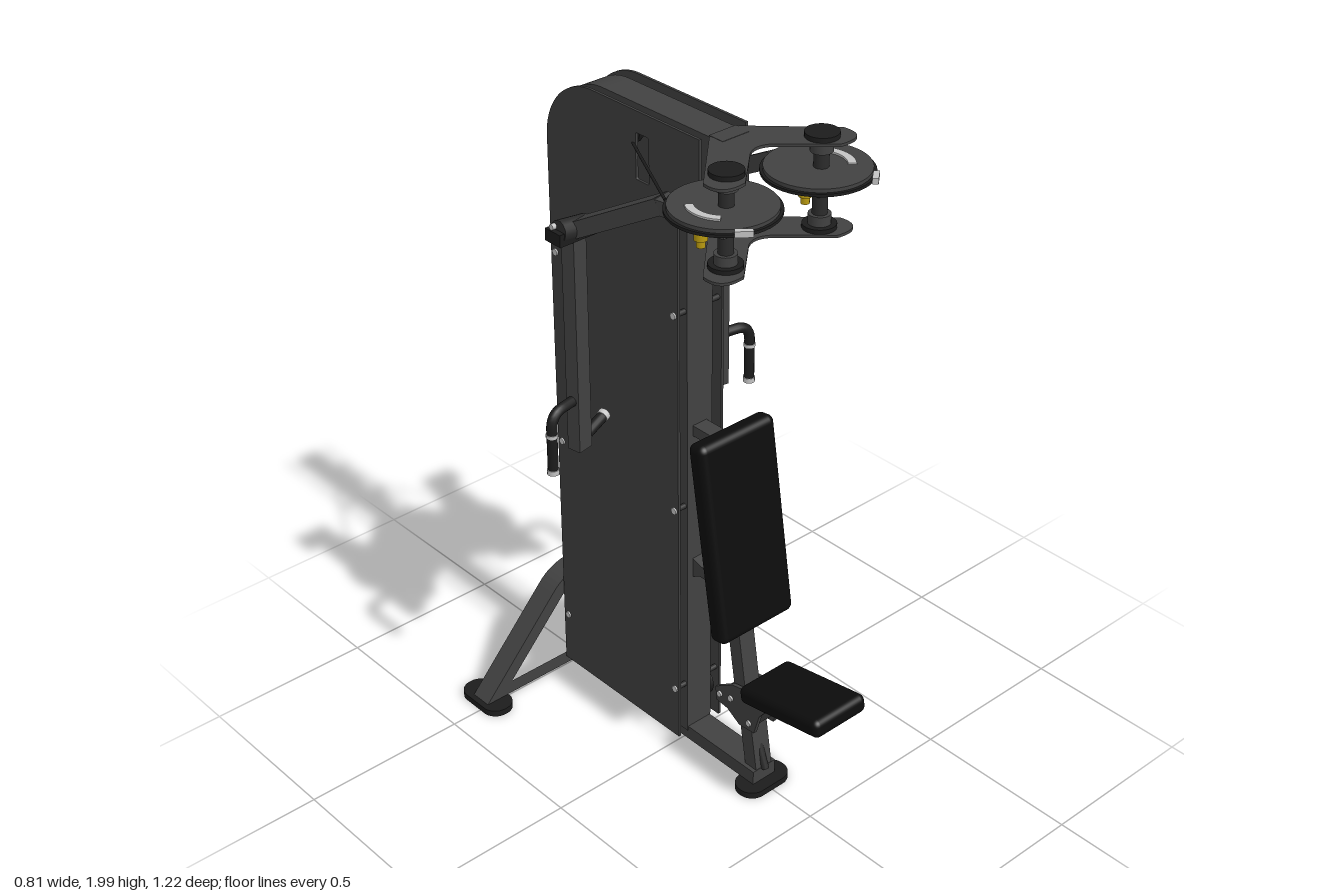
import * as THREE from 'three';
import { RoundedBoxGeometry } from 'three/addons/geometries/RoundedBoxGeometry.js';

const mat = (name, color) => Object.assign(new THREE.MeshStandardMaterial({ color }), { name });

export function createModel() {
  const root = new THREE.Group();
  root.name = 'chestPressMachine';
  const steel = mat('frameSteel', 0x414141);
  const sheet = mat('shroudGrey', 0x3f3f3f);
  const dark = mat('darkSteel', 0x2b2b2b);
  const pad = mat('blackVinyl', 0x0c0c0c);
  const rubber = mat('blackRubber', 0x1c1c1c);
  const bright = mat('brightMetal', 0xc4c4c4);
  const yellow = mat('yellowKnob', 0xb99a10);

  const add = (name, geo, m, x = 0, y = 0, z = 0) => {
    const mesh = new THREE.Mesh(geo, m);
    mesh.name = name;
    mesh.position.set(x, y, z);
    root.add(mesh);
    return mesh;
  };
  const box = (name, m, w, h, d, x, y, z) => add(name, new THREE.BoxGeometry(w, h, d), m, x, y, z);
  const disc = (name, m, r, h, x, y, z, n = 24) => add(name, new THREE.CylinderGeometry(r, r, h, n), m, x, y, z);
  // Cylinder or box running from a to b
  const rod = (name, m, r, a, b) => {
    const p = new THREE.Vector3(...a), q = new THREE.Vector3(...b), d = q.clone().sub(p);
    const mesh = add(name, new THREE.CylinderGeometry(r, r, d.length(), 14), m);
    mesh.position.copy(p).lerp(q, 0.5);
    mesh.quaternion.setFromUnitVectors(new THREE.Vector3(0, 1, 0), d.normalize());
    return mesh;
  };
  const beam = (name, m, w, h, a, b) => {
    const p = new THREE.Vector3(...a), q = new THREE.Vector3(...b);
    const mesh = add(name, new THREE.BoxGeometry(w, h, p.distanceTo(q)), m);
    mesh.position.copy(p).lerp(q, 0.5);
    mesh.lookAt(q);
    return mesh;
  };
  const poly = pts => new THREE.Shape(pts.map(p => new THREE.Vector2(...p)));
  const extrude = (shape, depth) =>
    new THREE.ExtrudeGeometry(shape, { depth, bevelEnabled: false, curveSegments: 16 }).translate(0, 0, -depth / 2);
  // Shape given as (z, y), thickness along x
  const sidePlate = (name, m, shape, t, x) => add(name, extrude(shape, t).rotateY(-Math.PI / 2), m, x);
  // Shape given as (x, z), thickness along y
  const flatPlate = (name, m, shape, t, x, y, z) => add(name, extrude(shape, t).rotateX(Math.PI / 2), m, x, y, z);
  const roundRect = (w, h, r, cx = 0, cy = 0, C = THREE.Shape) => {
    const s = new C(), a = w / 2 - r, b = h / 2 - r;
    s.absarc(cx + a, cy + b, r, 0, Math.PI / 2);
    s.absarc(cx - a, cy + b, r, Math.PI / 2, Math.PI);
    s.absarc(cx - a, cy - b, r, Math.PI, Math.PI * 1.5);
    s.absarc(cx + a, cy - b, r, Math.PI * 1.5, Math.PI * 2);
    s.closePath();
    return s;
  };

  // Tower: central loop frame between two side shrouds
  const tower = (e = 0) => {
    const s = new THREE.Shape();
    s.moveTo(0.037 - e, 0.05);
    s.lineTo(0.037 - e, 1.74);
    s.lineTo(0.118, 1.74);
    s.lineTo(0.118, 1.98 - e);
    s.lineTo(-0.29, 1.98 - e);
    s.absarc(-0.29, 1.79, 0.19 - e, Math.PI / 2, Math.PI);
    s.lineTo(-0.48 + e, 0.05);
    s.closePath();
    return s;
  };
  const frame = tower(0.004);
  frame.holes.push(roundRect(0.37, 1.82, 0.08, -0.235, 1.01, THREE.Path));
  sidePlate('towerFrame', steel, frame, 0.09, 0);
  for (const s of [-1, 1]) {
    const shroud = tower();
    shroud.holes.push(roundRect(0.05, 0.13, 0.005, -0.095, 1.855, THREE.Path));
    if (s > 0) shroud.holes.push(roundRect(0.095, 1.37, 0.025, -0.217, 0.795, THREE.Path));
    sidePlate('sideShroud', sheet, shroud, 0.008, s * 0.078);
    for (const y of [0.22, 0.84, 1.45]) for (const z of [0.022, -0.46]) {
      rod('shroudSpacer', dark, 0.008, [s * 0.04, y, z], [s * 0.076, y, z]);
      rod('shroudBolt', bright, 0.01, [s * 0.08, y, z], [s * 0.087, y, z]);
    }
  }

  // Weight stack behind the shroud slot
  for (let i = 0; i < 12; i++) box('weightPlate', dark, 0.1, 0.027, 0.31, 0.012, 0.125 + i * 0.031, -0.235);
  box('stackCarriage', steel, 0.1, 0.06, 0.31, 0.012, 0.51, -0.235);
  sidePlate('stackHead', steel, roundRect(0.09, 0.2, 0.03, -0.217, 0.61), 0.03, 0.045);
  for (const z of [-0.1, -0.37]) rod('guideRod', bright, 0.009, [0, 0.1, z], [0, 1.9, z]);
  rod('headBolt', bright, 0.012, [0.06, 0.67, -0.217], [0.07, 0.67, -0.217]);
  rod('selectorPin', yellow, 0.009, [0.05, 0.51, -0.217], [0.085, 0.51, -0.217]);
  rod('selectorKnob', yellow, 0.017, [0.07, 0.51, -0.217], [0.09, 0.51, -0.217]);
  box('selectorTag', yellow, 0.006, 0.075, 0.01, 0.063, 0.51, -0.217);
  for (const [y, z] of [[1.84, -0.11], [1.84, -0.3], [0.16, -0.02]])
    rod('cablePulley', rubber, 0.05, [0.046, y, z], [0.062, y, z]);

  // Base rail and feet
  box('baseRail', steel, 0.085, 0.045, 0.84, 0, 0.042, -0.11);
  flatPlate('frontFoot', rubber, roundRect(0.17, 0.095, 0.045), 0.02, 0, 0.01, 0.3);
  const arch = new THREE.Shape();
  arch.moveTo(-0.385, 0.02);
  arch.lineTo(-0.12, 0.305);
  arch.bezierCurveTo(-0.06, 0.375, 0.06, 0.375, 0.12, 0.305);
  arch.lineTo(0.385, 0.02);
  arch.closePath();
  const gap = new THREE.Path();
  gap.moveTo(-0.29, 0.062);
  gap.lineTo(-0.09, 0.275);
  gap.bezierCurveTo(-0.045, 0.325, 0.045, 0.325, 0.09, 0.275);
  gap.lineTo(0.29, 0.062);
  gap.closePath();
  arch.holes.push(gap);
  add('rearArch', extrude(arch, 0.068), steel, 0, 0, -0.518);
  for (const s of [-1, 1]) flatPlate('rearFoot', rubber, roundRect(0.095, 0.175, 0.045), 0.02, s * 0.355, 0.01, -0.522);

  // Backrest
  add('backrestPad', new RoundedBoxGeometry(0.27, 0.605, 0.062, 4, 0.022), pad, 0, 0.835, 0.2035).rotation.x = -0.157;
  beam('backrestTube', steel, 0.055, 0.045, [0, 0.3, 0.237], [0, 1.09, 0.112]);
  box('backrestUpperBar', steel, 0.05, 0.032, 0.1, 0, 1.08, 0.08);
  const brace = poly([[0.03, 0.66], [0.03, 0.595], [0.06, 0.612], [0.12, 0.612], [0.19, 0.595], [0.18, 0.655], [0.12, 0.648], [0.07, 0.648]]);
  sidePlate('backrestLowerBrace', steel, brace, 0.05, 0);
  for (const y of [0.64, 1.03]) box('backrestMount', dark, 0.16, 0.05, 0.012, 0, y, 0.2 - (y - 0.64) * 0.157);

  // Seat, its hinge bracket and support post
  add('seatPad', new RoundedBoxGeometry(0.195, 0.056, 0.31, 4, 0.02), pad, 0, 0.396, 0.452).rotation.x = -0.17;
  box('seatRail', dark, 0.09, 0.03, 0.24, 0, 0.352, 0.43).rotation.x = -0.19;
  const hinge = [[0.365, 0.36], [0.22, 0.33], [0.15, 0.285], [0.155, 0.24], [0.2, 0.235], [0.25, 0.205], [0.31, 0.21], [0.33, 0.28], [0.365, 0.325]];
  for (const s of [-1, 1]) {
    sidePlate('seatBracket', steel, poly(hinge), 0.012, s * 0.038);
    for (const [y, z] of [[0.27, 0.17], [0.28, 0.215], [0.235, 0.29]])
      rod('bracketBolt', bright, 0.009, [s * 0.04, y, z], [s * 0.05, y, z]);
  }
  box('seatHub', dark, 0.066, 0.07, 0.12, 0, 0.27, 0.25);
  beam('seatPost', steel, 0.06, 0.045, [0, 0.055, 0.287], [0, 0.25, 0.255]);
  rod('seatStrut', dark, 0.011, [0, 0.06, 0.315], [0, 0.23, 0.25]);

  // Head bracket with upper and lower wing plates
  box('headBracket', steel, 0.09, 0.26, 0.05, 0, 1.85, 0.138);
  const wing = new THREE.Shape();
  wing.moveTo(-0.05, 0.12);
  wing.lineTo(0.05, 0.12);
  wing.lineTo(0.235, 0.3);
  wing.quadraticCurveTo(0.25, 0.38, 0.16, 0.365);
  wing.lineTo(0.04, 0.255);
  wing.quadraticCurveTo(0, 0.225, -0.04, 0.255);
  wing.lineTo(-0.16, 0.365);
  wing.quadraticCurveTo(-0.25, 0.38, -0.235, 0.3);
  wing.closePath();
  flatPlate('upperWing', steel, wing, 0.008, 0, 1.975, 0);
  flatPlate('lowerWing', steel, wing, 0.008, 0, 1.727, 0);

  // Cams, swing arms and handles on each side
  for (const s of [-1, 1]) {
    const px = s * 0.16, pz = 0.3;
    disc('pivotShaft', dark, 0.02, 0.26, px, 1.855, pz);
    disc('upperCap', rubber, 0.045, 0.014, px, 1.985, pz);
    disc('upperBearing', steel, 0.03, 0.03, px, 1.955, pz);
    disc('lowerCap', rubber, 0.045, 0.016, px, 1.735, pz);
    disc('lowerBearing', steel, 0.03, 0.03, px, 1.755, pz);
    disc('cam', steel, 0.138, 0.014, px, 1.891, 0.29, 48);
    disc('camRim', rubber, 0.146, 0.008, px, 1.884, 0.29, 48);
    const arc = new THREE.Shape(), a0 = s > 0 ? -0.6 : Math.PI - 0.75, a1 = a0 + 1.35;
    arc.absarc(0, 0, 0.095, a0, a1);
    arc.absarc(0, 0, 0.073, a1, a0, true);
    arc.closePath();
    flatPlate('selectorArc', bright, arc, 0.006, px, 1.9, 0.29);
    box('camStop', bright, 0.045, 0.016, 0.016, s * 0.222, 1.892, 0.428).rotation.y = s * 0.7;
    rod('armPin', yellow, 0.012, [s * 0.178, 1.765, 0.23], [s * 0.178, 1.825, 0.23]);
    disc('armPinKnob', yellow, 0.018, 0.02, s * 0.178, 1.795, 0.23);

    beam('armUpper', steel, 0.055, 0.04, [s * 0.163, 1.843, 0.32], [s * 0.195, 1.843, 0.1]);
    beam('armSlant', steel, 0.055, 0.045, [s * 0.193, 1.845, 0.115], [s * 0.245, 1.69, -0.165]);
    rod('armJoint', dark, 0.03, [s * 0.215, 1.69, -0.165], [s * 0.305, 1.7, -0.165]);
    box('jointClamp', rubber, 0.12, 0.035, 0.06, s * 0.26, 1.685, -0.17);
    for (const y of [1.68, 1.71]) rod('jointBolt', bright, 0.008, [s * 0.3, y, -0.18], [s * 0.316, y, -0.18]);
    box('armTube', steel, 0.05, 0.64, 0.042, s * 0.252, 1.35, -0.17).rotation.y = -s * 0.18;

    // Bent outer handle and short inner peg
    const path = new THREE.CurvePath();
    const v = (x, y, z) => new THREE.Vector3(s * x, y, z);
    path.add(new THREE.LineCurve3(v(0.25, 1.185, -0.172), v(0.315, 1.185, -0.16)));
    path.add(new THREE.QuadraticBezierCurve3(v(0.315, 1.185, -0.16), v(0.36, 1.185, -0.153), v(0.36, 1.135, -0.153)));
    path.add(new THREE.LineCurve3(v(0.36, 1.135, -0.153), v(0.36, 1.01, -0.153)));
    add('outerHandle', new THREE.TubeGeometry(path, 32, 0.015, 12), rubber);
    rod('handleEnd', bright, 0.017, [s * 0.36, 1.0, -0.153], [s * 0.36, 1.015, -0.153]);
    rod('handleCollar', bright, 0.017, [s * 0.36, 1.115, -0.153], [s * 0.36, 1.125, -0.153]);
    rod('innerPeg', rubber, 0.016, [s * 0.24, 1.045, -0.178], [s * 0.145, 1.07, -0.2]);
    rod('pegEnd', bright, 0.018, [s * 0.15, 1.069, -0.199], [s * 0.135, 1.073, -0.203]);
    rod('camCable', rubber, 0.004, [s * 0.235, 1.886, 0.165], [s * 0.045, 1.886, -0.2]);
  }
  return root;
}
